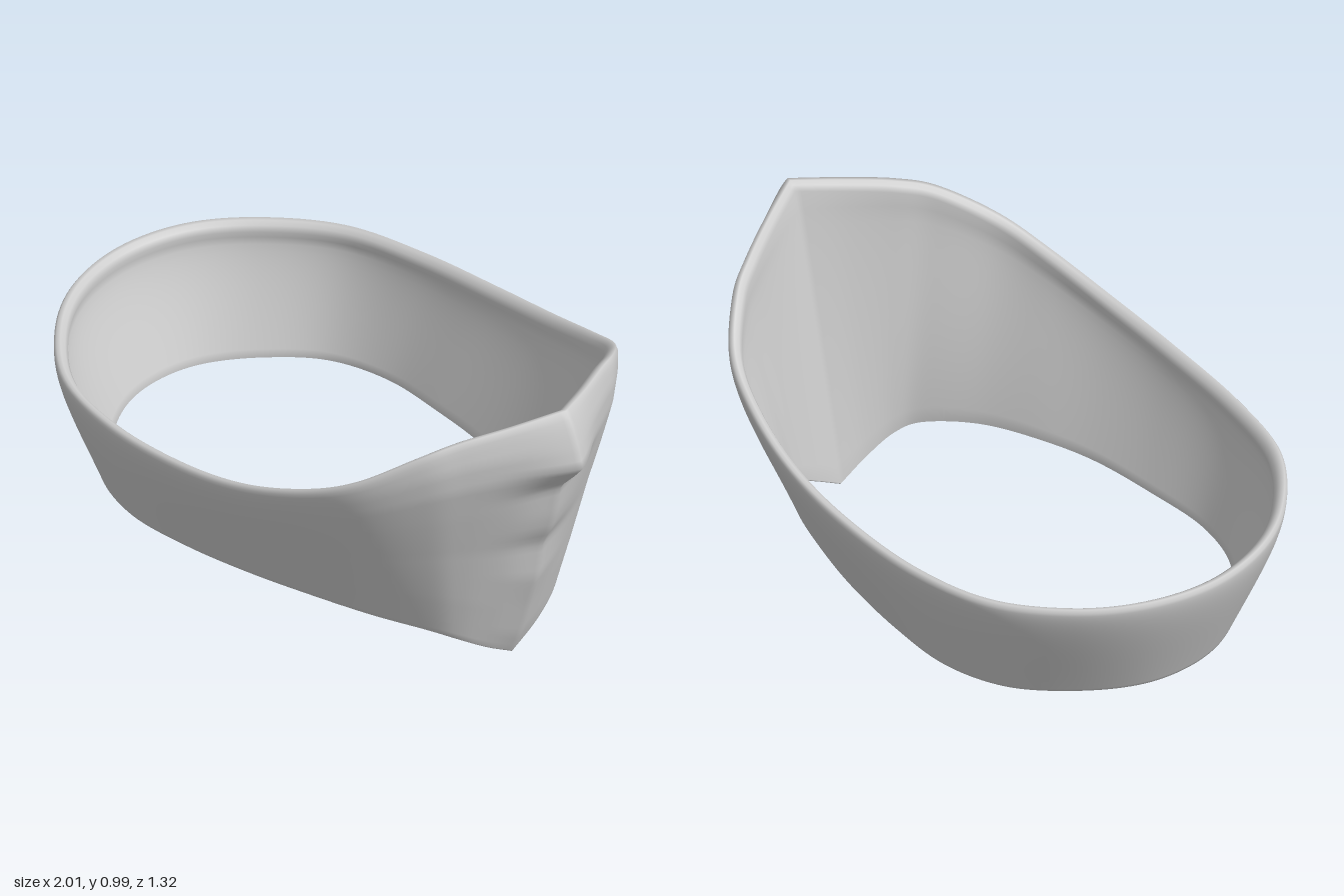
import * as THREE from 'three';
import { mergeVertices } from 'three/addons/utils/BufferGeometryUtils.js';

// Half outlines from the back centre round the left side to the front peak
const TOP = [
  [-0.995, 0.588, 0], [-0.95, 0.588, 0.22], [-0.825, 0.583, 0.41], [-0.62, 0.582, 0.57],
  [-0.35, 0.587, 0.638], [-0.05, 0.612, 0.652], [0.2, 0.655, 0.635], [0.42, 0.725, 0.59],
  [0.58, 0.8, 0.525], [0.71, 0.89, 0.4], [0.78, 0.932, 0.29], [0.86, 0.962, 0.145], [0.93, 0.99, 0],
];
const BOTTOM = [
  [-0.86, 0.19, 0], [-0.83, 0.19, 0.16], [-0.73, 0.19, 0.32], [-0.58, 0.19, 0.46],
  [-0.38, 0.19, 0.525], [-0.15, 0.195, 0.52], [0.08, 0.205, 0.49], [0.28, 0.203, 0.435],
  [0.47, 0.19, 0.36], [0.62, 0.16, 0.26], [0.675, 0.123, 0.19], [0.697, 0.065, 0.1], [0.7, 0.005, 0],
];

// Forward offsets by fraction down the wall: the crest on the centre line,
// and the broad swelling that spreads to both sides of it
const CREST = [
  [0, 0], [0.04, 0.035], [0.11, 0.08], [0.175, 0.113], [0.22, 0.088], [0.29, 0.042],
  [0.41, 0.047], [0.47, 0.043], [0.54, 0.022], [0.68, 0.033], [0.8, 0.022], [0.93, 0.013], [1, 0],
];
const SWELLING = [[0, 0], [0.1, 0.055], [0.2, 0.075], [0.35, 0.06], [0.55, 0.035], [0.8, 0.02], [1, 0]];

// Full outline: front peak, left side, back, right side, front peak
function outline(half) {
  const left = half.map(([x, y, z]) => new THREE.Vector3(x, y, z)).reverse();
  const right = half.slice(1).map(([x, y, z]) => new THREE.Vector3(x, y, -z));
  return new THREE.CatmullRomCurve3([...left, ...right], false, 'catmullrom', 0.5);
}

function lookUp(table, s) {
  const k = Math.max(1, table.findIndex(([f]) => f >= s));
  const [f0, d0] = table[k - 1], [f1, d1] = table[k];
  return THREE.MathUtils.lerp(d0, d1, (s - f0) / (f1 - f0));
}

// Moves a point horizontally towards the middle of the band
function inward(p, amount, drop = 0) {
  const d = new THREE.Vector3(-p.x * 0.7, 0, -p.z).normalize();
  return p.clone().addScaledVector(d, amount).setY(p.y - drop);
}

// Closed cross-section of the wall: outside down, lower lip, inside up, upper lip
function section(t, b, down) {
  const ahead = t.x > 0 ? 1 : 0;
  const broad = ahead * Math.max(0, 1 - Math.abs(t.z) / 0.6);
  const narrow = ahead * Math.exp(-((t.z / 0.13) ** 2));
  const bulge = (s) => 0.022 * Math.sin(Math.PI * Math.sqrt(s)) * (1 - broad);
  const points = [];
  for (let j = 0; j <= down; j++) {
    const s = j / down;
    const p = inward(t.clone().lerp(b, s), -bulge(s));
    const swelling = lookUp(SWELLING, s);
    p.x += swelling * broad + (lookUp(CREST, s) - swelling) * narrow;
    points.push(p);
  }
  const lip = 0.032 * (1 - 0.65 * broad);
  points.push(inward(b, lip * 0.3, 0.005), inward(b, lip * 0.7, 0.005));
  const innerTop = inward(t, 0.035, 0.03), innerBottom = inward(b, lip, 0);
  const up = 16;
  for (let j = 0; j <= up; j++) {
    const s = 1 - j / up;
    points.push(inward(innerTop.clone().lerp(innerBottom, s), -bulge(s)));
  }
  points.push(inward(t, 0.026, 0.012), inward(t, 0.012, 0.002));
  return points;
}

function bandGeometry() {
  const top = outline(TOP), bottom = outline(BOTTOM);
  const around = 192, down = 40;
  const positions = [], index = [];
  let rows = 0;
  for (let i = 0; i <= around; i++) {
    const ring = section(top.getPoint(i / around), bottom.getPoint(i / around), down);
    rows = ring.length;
    ring.forEach((p) => positions.push(p.x, p.y, p.z));
  }
  for (let i = 0; i < around; i++) {
    for (let j = 0; j < rows; j++) {
      const a = i * rows + j, b = i * rows + ((j + 1) % rows);
      index.push(a, a + rows, b, a + rows, b + rows, b);
    }
  }
  const geometry = new THREE.BufferGeometry();
  geometry.setAttribute('position', new THREE.Float32BufferAttribute(positions, 3));
  geometry.setIndex(index);
  // weld the seam at the front ridge
  const welded = mergeVertices(geometry, 1e-4);
  welded.computeVertexNormals();
  return welded;
}

export function createModel() {
  const model = new THREE.Group();
  model.name = 'peakedBand';
  const material = new THREE.MeshStandardMaterial({ color: 0xcccccc });
  const band = new THREE.Mesh(bandGeometry(), material);
  band.name = 'band';
  model.add(band);
  return model;
}
